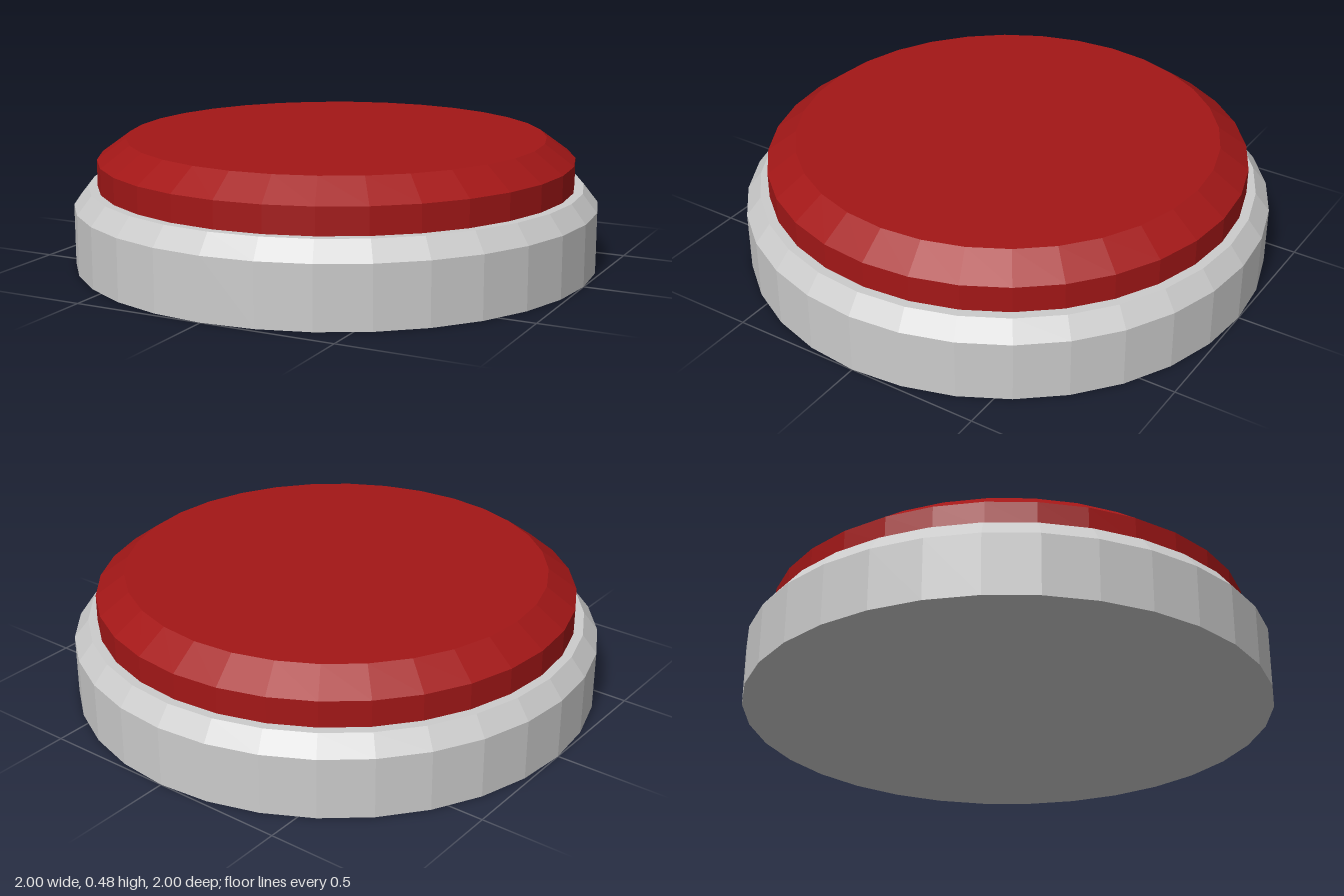
import * as THREE from 'three';

const SIDES = 32;

// Faceted solid of revolution from [radius, height] pairs, listed bottom to top
function turned(name, color, profile) {
  const points = profile.map(([r, y]) => new THREE.Vector2(r, y));
  const material = new THREE.MeshStandardMaterial({ color, flatShading: true });
  const mesh = new THREE.Mesh(new THREE.LatheGeometry(points, SIDES), material);
  mesh.name = name;
  return mesh;
}

export function createModel() {
  const group = new THREE.Group();
  group.name = 'pushButton';

  // Grey housing with a chamfered upper rim
  group.add(turned('base', 0xcccccc, [[0, 0], [1, 0], [1, 0.23], [0.945, 0.3], [0, 0.3]]));

  // Red cap with a chamfered top edge, standing on the base
  group.add(turned('buttonCap', 0xa31717, [[0.91, 0.3], [0.91, 0.4], [0.8, 0.48], [0, 0.48]]));

  return group;
}
